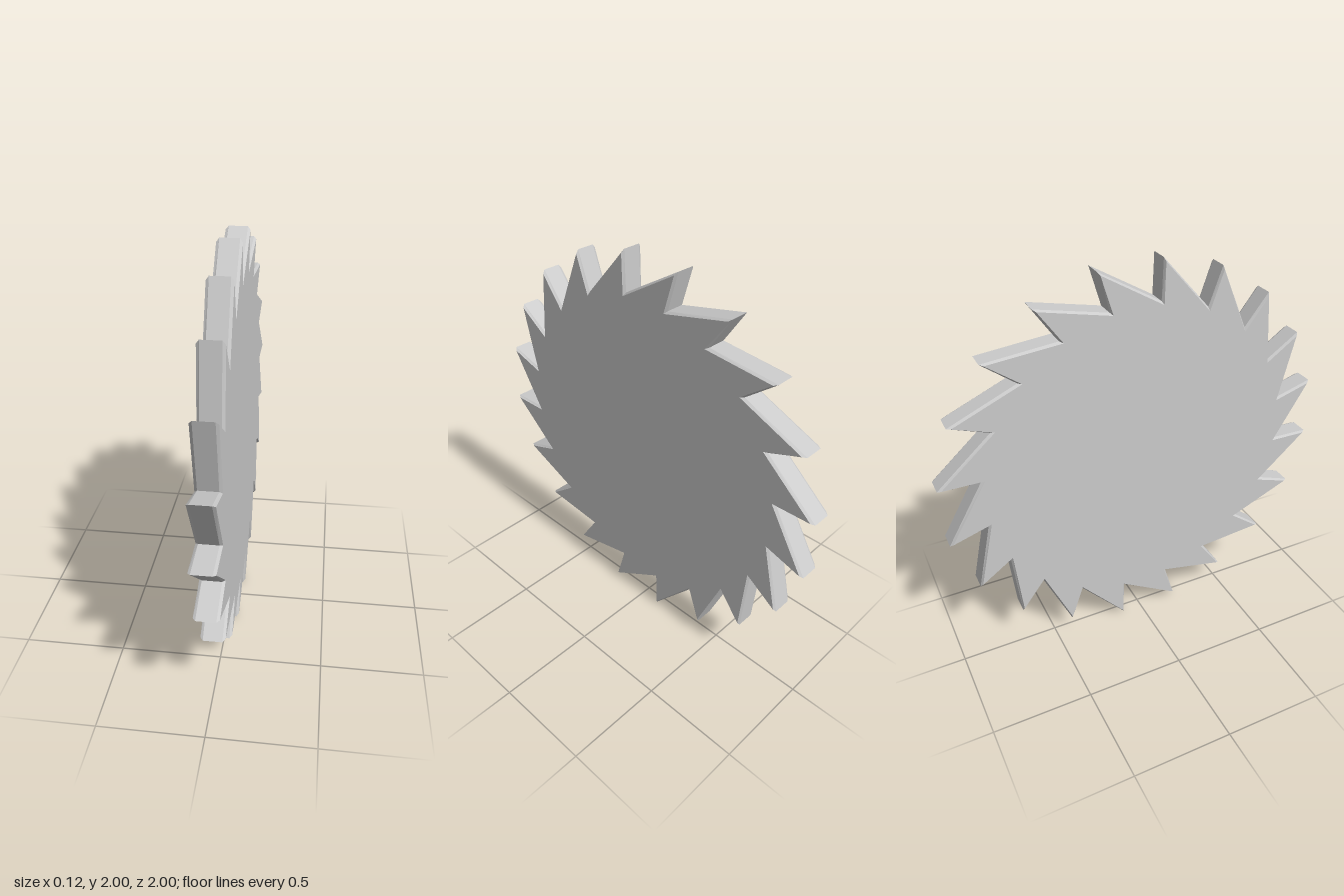
import * as THREE from 'three';

const TEETH = 20;
const TIP_RADIUS = 1.0057, ROOT_RADIUS = 0.808;
const TIP_ANGLE = -6.1, ROOT_ANGLE = -7.1; // degrees from straight up
const THICKNESS = 0.116, BEVEL = 0.013;

// point on the blade outline, angle measured clockwise from the top
function polar(radius, degrees) {
  const a = THREE.MathUtils.degToRad(degrees);
  return new THREE.Vector2(radius * Math.sin(a), radius * Math.cos(a));
}

export function createModel() {
  const group = new THREE.Group();
  group.name = 'sawBlade';

  // each raked tooth: a tip, then a steep edge back down to the root
  const outline = [];
  for (let i = 0; i < TEETH; i++) {
    const turn = (i * 360) / TEETH;
    outline.push(polar(TIP_RADIUS, TIP_ANGLE + turn), polar(ROOT_RADIUS, ROOT_ANGLE + turn));
  }

  // solid disc with a small chamfer cut into both rims
  const depth = THICKNESS - 2 * BEVEL;
  const geometry = new THREE.ExtrudeGeometry(new THREE.Shape(outline), {
    depth,
    bevelEnabled: true,
    bevelThickness: BEVEL,
    bevelSize: BEVEL,
    bevelOffset: -BEVEL,
    bevelSegments: 1,
  });
  geometry.translate(0, 0, -depth / 2);
  geometry.rotateY(Math.PI / 2);

  const blade = new THREE.Mesh(
    geometry,
    new THREE.MeshStandardMaterial({ color: 0xcccccc, flatShading: true })
  );
  blade.name = 'toothedDisc';
  blade.position.y = 1;
  group.add(blade);
  return group;
}
